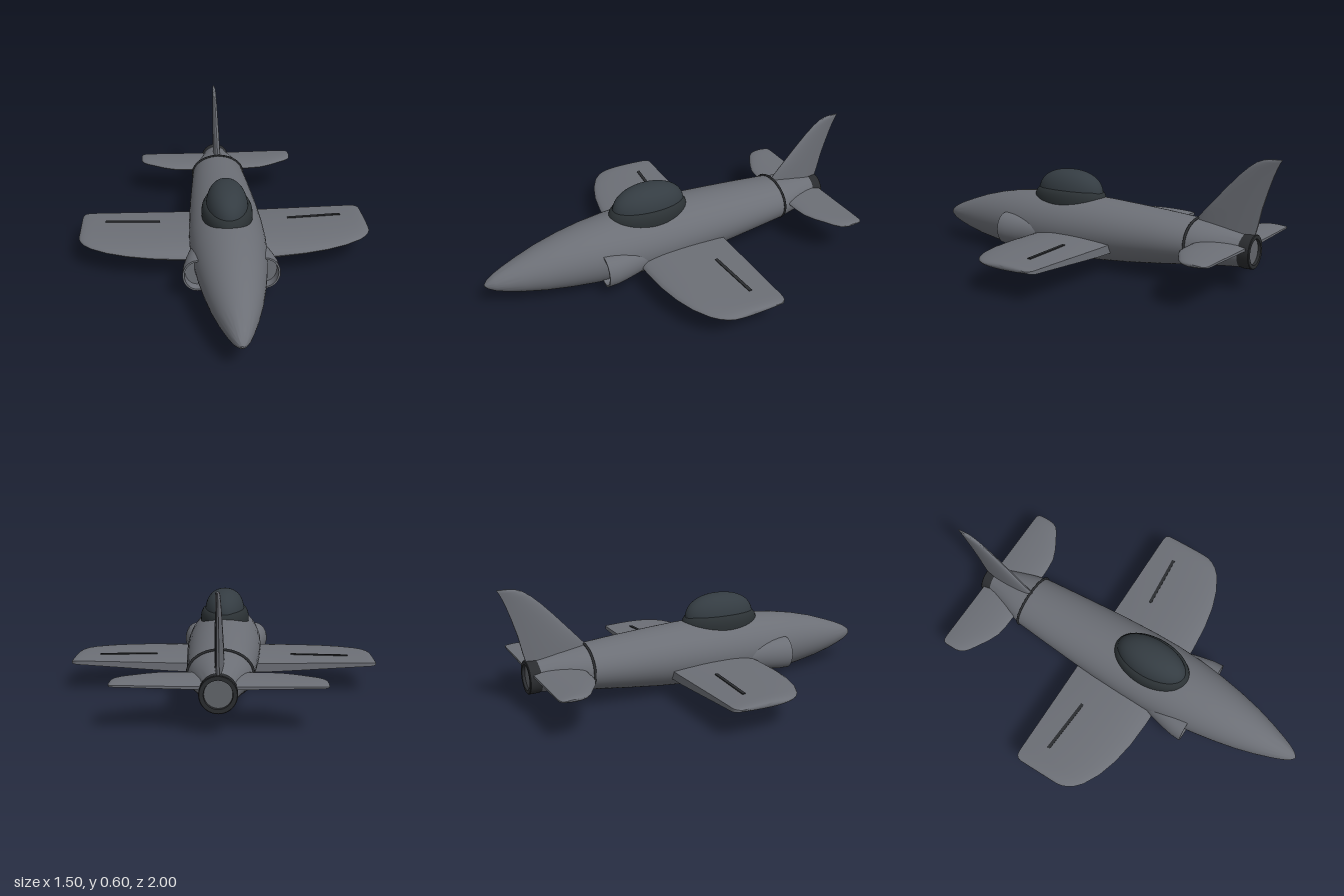
import * as THREE from 'three';
import { toCreasedNormals } from 'three/addons/utils/BufferGeometryUtils.js';

const paint = (name, color) => Object.assign(new THREE.MeshStandardMaterial({ color }), { name });

// Closed skin through rings of points with capped ends, always wound outward
function loft(rings, crease = 0.7) {
  const n = rings[0].length, pos = [], idx = [];
  rings.forEach(r => r.forEach(p => pos.push(...p)));
  for (let i = 0; i < rings.length - 1; i++) {
    for (let j = 0; j < n; j++) {
      const a = i * n + j, b = i * n + (j + 1) % n;
      idx.push(a, b, b + n, a, b + n, a + n);
    }
  }
  [0, rings.length - 1].forEach(k => {
    const c = pos.length / 3;
    pos.push(...[0, 1, 2].map(d => rings[k].reduce((s, p) => s + p[d], 0) / n));
    for (let j = 0; j < n; j++) {
      const a = k * n + j, b = k * n + (j + 1) % n;
      k ? idx.push(c, a, b) : idx.push(c, b, a);
    }
  });
  const at = i => new THREE.Vector3().fromArray(pos, i * 3);
  let volume = 0;
  for (let i = 0; i < idx.length; i += 3) volume += at(idx[i]).dot(at(idx[i + 1]).cross(at(idx[i + 2])));
  if (volume < 0) idx.reverse();
  const g = new THREE.BufferGeometry();
  g.setAttribute('position', new THREE.Float32BufferAttribute(pos, 3));
  g.setIndex(idx);
  return toCreasedNormals(g, crease);
}

// Upright ellipse at a given z
const ellipse = (z, cx, cy, rx, ry, n = 48) => Array.from({ length: n }, (_, i) => {
  const a = i / n * Math.PI * 2;
  return [cx + rx * Math.cos(a), cy + ry * Math.sin(a), z];
});

// Aerofoil outline as [z, offset] pairs: round nose, slim blunt tail
function foil(lead, trail, h, tail) {
  const half = [];
  for (let i = 0; i <= 14; i++) {
    const u = (i / 14) ** 1.7;
    const f = u < 0.4 ? Math.sqrt(1 - (1 - u / 0.4) ** 2) : 1 - (1 - tail) * ((u - 0.4) / 0.6) ** 2;
    half.push([lead + (trail - lead) * u, h * f]);
  }
  return [...half, ...half.slice(1).reverse().map(([z, t]) => [z, -t])];
}

export function createModel() {
  const root = new THREE.Group();
  root.name = 'jetPlane';
  const grey = paint('bodyGrey', 0x6c6f76), glass = paint('canopyGlass', 0x343c42);
  const frame = paint('canopyFrame', 0x2b3134), dark = paint('darkTrim', 0x2a2c2f);
  const exhaust = paint('exhaustGrey', 0x62656a);
  const add = (name, geo, mat) => {
    const m = new THREE.Mesh(geo, mat);
    m.name = name;
    root.add(m);
    return m;
  };

  // Fuselage: z, top, bottom, half width
  const body = [
    [1, 0.145, 0.135, 0.005], [0.985, 0.162, 0.12, 0.022], [0.95, 0.184, 0.1, 0.042],
    [0.9, 0.206, 0.083, 0.062], [0.82, 0.235, 0.062, 0.09], [0.72, 0.268, 0.041, 0.119],
    [0.6, 0.298, 0.023, 0.145], [0.48, 0.319, 0.01, 0.165], [0.34, 0.333, 0.002, 0.182],
    [0.2, 0.338, 0, 0.19], [0.06, 0.337, 0.007, 0.189], [-0.1, 0.332, 0.018, 0.182],
    [-0.25, 0.323, 0.031, 0.173], [-0.42, 0.311, 0.051, 0.16], [-0.6, 0.295, 0.075, 0.145],
    [-0.67, 0.287, 0.084, 0.128], [-0.74, 0.276, 0.091, 0.105], [-0.8, 0.263, 0.096, 0.086],
    [-0.86, 0.25, 0.1, 0.072],
  ];
  add('fuselage', loft(body.map(([z, t, b, w]) => ellipse(z, 0, (t + b) / 2, w, (t - b) / 2))), grey);

  // Raised band in front of the tail
  const loop = ellipse(-0.605, 0, 0.189, 0.146, 0.109).map(p => new THREE.Vector3(...p));
  add('tailBand', new THREE.TubeGeometry(new THREE.CatmullRomCurve3(loop, true), 72, 0.006, 8, true), dark);

  // Tail pipe with a recessed exhaust plate
  const pipe = [[0.06, -0.02], [0.076, -0.02], [0.08, 0], [0.08, 0.042], [0.077, 0.045], [0.06, 0.045], [0.058, 0.03]];
  const nozzleGeo = new THREE.LatheGeometry(pipe.map(p => new THREE.Vector2(...p)), 40);
  const nozzle = add('nozzle', toCreasedNormals(nozzleGeo, 0.6), dark);
  nozzle.rotation.x = -Math.PI / 2;
  nozzle.position.set(0, 0.175, -0.848);
  dark.side = THREE.DoubleSide;
  const plate = add('exhaustPlate', new THREE.CircleGeometry(0.06, 40), exhaust);
  plate.rotation.y = Math.PI;
  plate.position.set(0, 0.175, -0.88);

  // Canopy frame and squared-off glass bubble
  const rim = [[0.98, 0.265], [1, 0.3], [1, 0.322], [0.97, 0.342], [0.9, 0.36], [0.8, 0.365], [0, 0.365]];
  const rimMesh = add('canopyFrame', new THREE.LatheGeometry(rim.map(p => new THREE.Vector2(...p)), 56), frame);
  rimMesh.scale.set(0.126, 1, 0.21);
  rimMesh.position.z = 0.14;
  const bubble = new THREE.SphereGeometry(1, 48, 32);
  const p = bubble.attributes.position;
  for (let i = 0; i < p.count; i++) {
    const y = p.getY(i), r = Math.hypot(p.getX(i), p.getZ(i));
    const k = r > 1e-4 ? r ** 0.88 / r : 1;
    p.setXYZ(i, p.getX(i) * k * 0.103, Math.sign(y) * Math.abs(y) ** 0.9 * 0.122, p.getZ(i) * k * 0.192);
  }
  bubble.computeVertexNormals();
  add('canopyGlass', bubble, glass).position.set(0, 0.341, 0.137);

  // Wing and tailplane stations: x, leading z, trailing z, half thickness, centre y
  const wing = [
    [0.08, 0.265, -0.21, 0.046, 0.119], [0.25, 0.262, -0.21, 0.041, 0.122], [0.38, 0.253, -0.21, 0.035, 0.127],
    [0.5, 0.232, -0.21, 0.029, 0.132], [0.6, 0.2, -0.21, 0.024, 0.136], [0.68, 0.157, -0.21, 0.02, 0.139],
    [0.715, 0.125, -0.21, 0.018, 0.14], [0.735, 0.095, -0.205, 0.015, 0.14], [0.746, 0.068, -0.193, 0.011, 0.14],
    [0.75, 0.04, -0.175, 0.005, 0.14],
  ];
  const tail = [
    [0.03, -0.635, -0.875, 0.022, 0.198], [0.2, -0.64, -0.875, 0.018, 0.2], [0.26, -0.647, -0.875, 0.017, 0.201],
    [0.32, -0.672, -0.875, 0.015, 0.202], [0.37, -0.702, -0.875, 0.014, 0.203], [0.41, -0.725, -0.875, 0.013, 0.203],
    [0.435, -0.748, -0.873, 0.011, 0.203], [0.446, -0.768, -0.866, 0.008, 0.203], [0.45, -0.79, -0.85, 0.004, 0.203],
  ];
  // Side intake rings: z, centre x, half width, half height, with a shallow hollow mouth
  const intake = [
    [0.1, 0.12, 0.02, 0.03], [0.2, 0.14, 0.038, 0.05], [0.27, 0.15, 0.05, 0.064], [0.34, 0.156, 0.061, 0.075],
    [0.4, 0.16, 0.069, 0.081], [0.45, 0.16, 0.071, 0.083], [0.45, 0.16, 0.062, 0.074], [0.41, 0.16, 0.058, 0.07],
  ];
  for (const [s, side] of [[1, 'left'], [-1, 'right']]) {
    const surface = (stations, blunt) => loft(stations.map(([x, l, t, h, y]) =>
      foil(l, t, h, blunt).map(([z, d]) => [s * x, y + d, z])));
    add(side + 'Wing', surface(wing, 0.5), grey);
    add(side + 'Tailplane', surface(tail, 0.3), grey);
    add(side + 'Intake', loft(intake.map(([z, x, w, h]) => ellipse(z, s * x, 0.142, w, h, 32))), grey);
    const slot = add(side + 'WingSlot', new THREE.BoxGeometry(0.285, 0.009, 0.016), dark);
    slot.position.set(s * 0.48, 0.157, -0.08);
    slot.rotation.y = s * 0.075;
  }

  // Swept fin stations: y, leading z, trailing z, half thickness
  const fin = [
    [0.2, -0.6, -0.875, 0.02], [0.295, -0.595, -0.9, 0.02], [0.38, -0.672, -0.918, 0.018],
    [0.46, -0.745, -0.942, 0.015], [0.52, -0.803, -0.962, 0.013], [0.56, -0.848, -0.978, 0.011],
    [0.585, -0.885, -0.99, 0.01], [0.596, -0.915, -0.997, 0.008], [0.6, -0.945, -1, 0.004],
  ];
  add('fin', loft(fin.map(([y, l, t, h]) => foil(l, t, h, 0.25).map(([z, d]) => [d, y, z]))), grey);
  return root;
}
